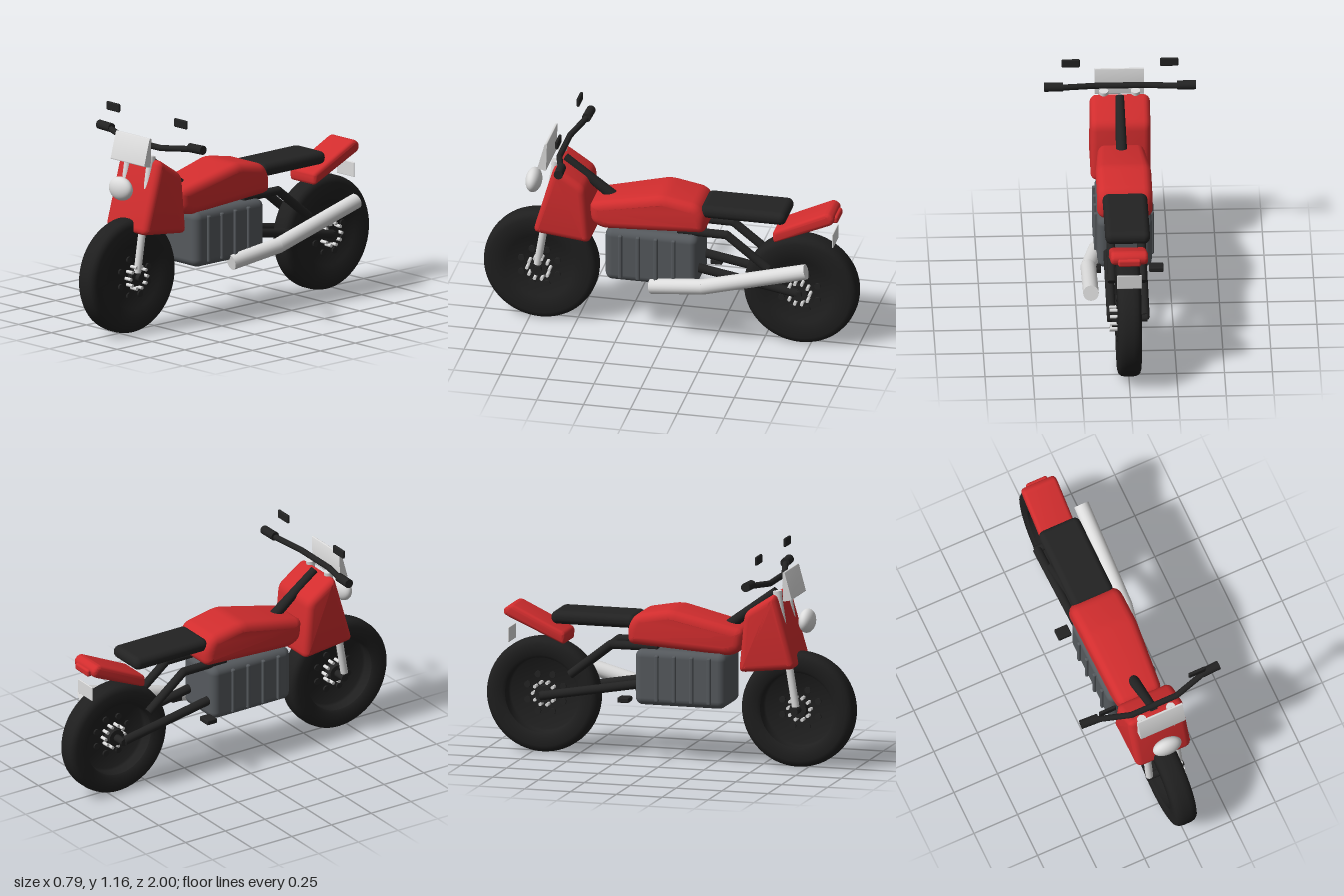
import * as THREE from 'three';
import { toCreasedNormals } from 'three/addons/utils/BufferGeometryUtils.js';
import { RoundedBoxGeometry } from 'three/addons/geometries/RoundedBoxGeometry.js';

const mat = (name, color) => {
  const m = new THREE.MeshStandardMaterial({ color });
  m.name = name;
  return m;
};

export function createModel() {
  const root = new THREE.Group();
  root.name = 'motorcycle';
  const red = mat('red paint', 0xd22d2e);
  const black = mat('black', 0x232323);
  const rubber = mat('tyre rubber', 0x1f1f1f);
  const grey = mat('engine grey', 0x55595d);
  const chrome = mat('light metal', 0xdcdcdc);

  const add = (name, geo, material, pos = [0, 0, 0], parent = root) => {
    const m = new THREE.Mesh(geo, material);
    m.name = name;
    m.position.set(...pos);
    parent.add(m);
    return m;
  };
  const box = (name, size, pos, material, r) =>
    add(name, new RoundedBoxGeometry(...size, 3, r), material, pos);

  // Round bar between two points
  const rod = (name, a, b, r, material, r2 = r, parent = root) => {
    const A = new THREE.Vector3(...a), B = new THREE.Vector3(...b);
    const d = B.clone().sub(A);
    const m = add(name, new THREE.CylinderGeometry(r2, r, d.length(), 20), material,
      A.clone().add(B).multiplyScalar(0.5).toArray(), parent);
    m.quaternion.setFromUnitVectors(new THREE.Vector3(0, 1, 0), d.normalize());
    return m;
  };
  // Bent bar with ball joints at the inner points
  const bentRod = (name, pts, r, material) => {
    const g = new THREE.Group();
    g.name = name;
    root.add(g);
    pts.slice(1).forEach((p, i) => {
      rod(name + 'Section', pts[i], p, r, material, r, g);
      if (i) add(name + 'Bend', new THREE.SphereGeometry(r, 20, 12), material, pts[i], g);
    });
  };

  // Side outline [z, y] with rounded corners, extruded across x with bevelled edges
  const slab = (pts, halfWidth, bevel, round) => {
    const s = new THREE.Shape();
    const v = pts.map((p) => new THREE.Vector2(...p));
    v.forEach((p, i) => {
      const prev = v[(i + v.length - 1) % v.length], next = v[(i + 1) % v.length];
      const toward = (q) => p.clone().add(q.clone().sub(p).setLength(Math.min(round, q.distanceTo(p) * 0.45)));
      const a = toward(prev), b = toward(next);
      i ? s.lineTo(a.x, a.y) : s.moveTo(a.x, a.y);
      s.quadraticCurveTo(p.x, p.y, b.x, b.y);
    });
    s.closePath();
    const depth = 2 * (halfWidth - bevel);
    const g = new THREE.ExtrudeGeometry(s, {
      depth, curveSegments: 4, bevelEnabled: bevel > 0, bevelThickness: bevel,
      bevelSize: bevel, bevelOffset: -bevel, bevelSegments: 4,
    });
    g.translate(0, 0, -depth / 2).rotateY(-Math.PI / 2);
    return g;
  };
  const crease = (g) => toCreasedNormals(g, 0.6);

  // Wheels: tyre and web, one side recessed, with studs and a bolt ring
  const profile = [[0.012, 0.02], [0.19, 0.02], [0.2, 0.01], [0.2, -0.05], [0.215, -0.062], [0.27, -0.062],
    [0.29, -0.056], [0.301, -0.042], [0.305, -0.02], [0.305, 0.02], [0.301, 0.042], [0.29, 0.056],
    [0.27, 0.062], [0.18, 0.062], [0.17, 0.054], [0.012, 0.054]].map((p) => new THREE.Vector2(...p));
  const tyreGeo = toCreasedNormals(new THREE.LatheGeometry(profile, 64).rotateZ(-Math.PI / 2), 0.8);
  for (const [name, z] of [['frontWheel', 0.695], ['rearWheel', -0.695]]) {
    const w = new THREE.Group();
    w.name = name;
    w.position.set(0, 0.305, z);
    root.add(w);
    add('tyre', tyreGeo, rubber, [0, 0, 0], w);
    rod('hub', [-0.03, 0, 0], [0.085, 0, 0], 0.045, black, 0.045, w);
    rod('axle', [-0.1, 0, 0], [0.11, 0, 0], 0.02, black, 0.02, w);
    for (let i = 0; i < 10; i++) {
      const a = (i / 10) * Math.PI * 2, y = Math.sin(a) * 0.06, bz = Math.cos(a) * 0.06;
      rod('bolt', [-0.02, y, bz], [0.098, y, bz], 0.009, chrome, 0.009, w);
    }
    for (let i = 0; i < 8; i++) {
      const a = ((i + 0.5) / 8) * Math.PI * 2, y = Math.sin(a) * 0.105, bz = Math.cos(a) * 0.105;
      rod('stud', [0.01, y, bz], [0.064, y, bz], 0.017, black, 0.017, w);
    }
  }

  // Front cowl, tank, seat and tail
  add('frontCowl', crease(slab([[0.715, 0.54], [0.405, 0.505], [0.435, 0.825], [0.6, 0.935]],
    0.157, 0.035, 0.035)), red);
  const tank = slab([[0.42, 0.725], [0.41, 0.615], [0.35, 0.583], [-0.205, 0.62], [-0.205, 0.72],
    [-0.165, 0.78], [0.025, 0.815]], 0.145, 0.045, 0.035);
  const p = tank.attributes.position;
  for (let i = 0; i < p.count; i++) {
    p.setX(i, p.getX(i) * (1 - 0.15 * THREE.MathUtils.smoothstep(p.getZ(i), 0.1, 0.42)));
  }
  add('fuelTank', crease(tank), red);
  box('seat', [0.234, 0.07, 0.46], [0, 0.733, -0.4], black, 0.033);
  add('tailFairing', crease(slab([[-0.56, 0.585], [-0.555, 0.65], [-0.85, 0.79], [-0.885, 0.765],
    [-0.88, 0.725]], 0.098, 0.02, 0.02)), red);
  box('tailLight', [0.12, 0.04, 0.035], [0, 0.74, -0.882], red, 0.012);
  box('numberPlate', [0.13, 0.078, 0.008], [0, 0.618, -0.872], chrome, 0.003);

  // Engine block with ribs on both flanks
  box('engineBlock', [0.286, 0.295, 0.495], [0, 0.448, 0.083], grey, 0.04);
  for (const s of [-1, 1]) {
    for (let i = 0; i < 4; i++) {
      box('engineRib', [0.035, 0.25, 0.022], [s * 0.139, 0.448, 0.245 - i * 0.095], grey, 0.008);
    }
  }

  // Exhaust
  bentRod('exhaust', [[0.14, 0.293, 0.08], [0.192, 0.345, -0.21], [0.197, 0.493, -0.76]], 0.041, chrome);

  // Steering: neck, bar, windscreen and headlight
  rod('steeringNeck', [0, 0.725, 0.31], [0, 0.925, 0.57], 0.03, black, 0.022);
  bentRod('handlebar', [[-0.32, 1.008, 0.522], [-0.13, 0.988, 0.573], [0.13, 0.988, 0.573],
    [0.32, 1.008, 0.522]], 0.016, black);
  add('windscreen', crease(slab([[0.692, 0.905], [0.645, 0.895], [0.64, 1.05], [0.652, 1.05]],
    0.128, 0, 0.006)), chrome);
  const lamp = add('headlight', new THREE.SphereGeometry(1, 40, 24), chrome, [0, 0.775, 0.738]);
  lamp.scale.set(0.08, 0.063, 0.042);

  // Mirrored parts
  for (const s of [-1, 1]) {
    rod('grip', [s * 0.298, 1.012, 0.524], [s * 0.396, 1.014, 0.52], 0.024, black);
    box('mirror', [0.096, 0.046, 0.016], [s * 0.257, 1.137, 0.55], black, 0.007);
    rod('fork', [s * 0.085, 0.33, 0.7], [s * 0.083, 0.94, 0.6], 0.02, chrome);
    rod('forkCap', [s * 0.083, 0.915, 0.604], [s * 0.083, 0.942, 0.6], 0.024, chrome);
    bentRod('subframe', [[s * 0.08, 0.605, -0.05], [s * 0.08, 0.603, -0.31], [s * 0.08, 0.43, -0.53]],
      0.023, black);
    rod('swingarm', [s * 0.088, 0.412, -0.1], [s * 0.088, 0.308, -0.69], 0.024, black);
    box('footpeg', [0.075, 0.027, 0.062], [s * 0.163, 0.333, -0.208], black, 0.006);
  }
  return root;
}
